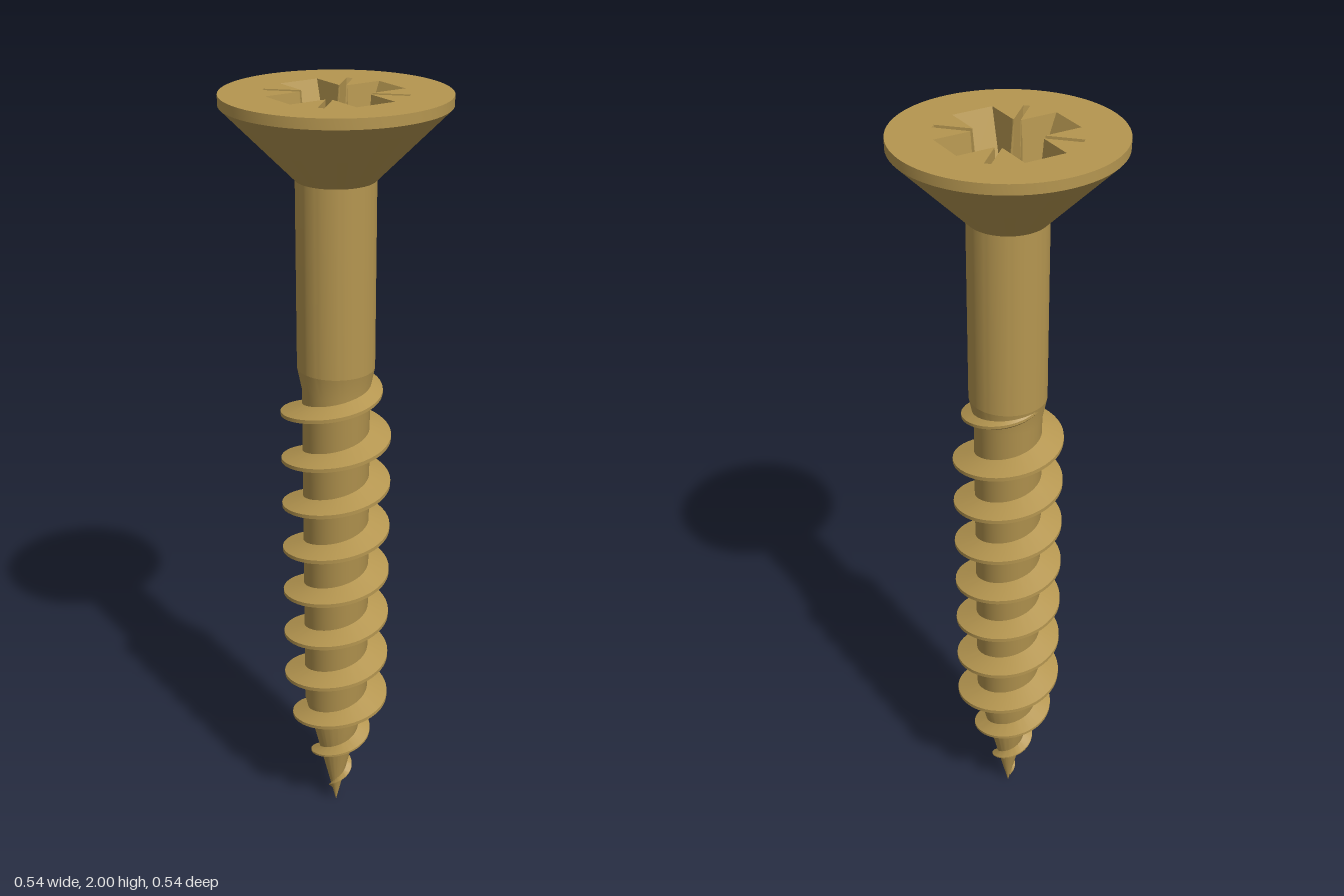
import * as THREE from 'three';
import { toCreasedNormals } from 'three/addons/utils/BufferGeometryUtils.js';

const material = new THREE.MeshStandardMaterial({ color: 0xb59650 });
const V2 = (x, y) => new THREE.Vector2(x, y);
const SEGMENTS = 72;
const TOP = 2, FLOOR = 1.87, HEAD_R = 0.272, DRILL_R = 0.073;

function part(name, geometry, crease = 0.5) {
  const mesh = new THREE.Mesh(toCreasedNormals(geometry, crease), material);
  mesh.name = name;
  return mesh;
}

function lathe(name, points) {
  return part(name, new THREE.LatheGeometry(points.map(([r, y]) => V2(r, y)), SEGMENTS));
}

function fromFaces(positions, index) {
  const geometry = new THREE.BufferGeometry();
  geometry.setAttribute('position', new THREE.Float32BufferAttribute(positions, 3));
  geometry.setIndex(index);
  return geometry;
}

// Repeats a quarter outline four times around the axis
function fourFold(quarter) {
  const points = [];
  for (let q = 0; q < 4; q++) {
    for (const [x, y] of quarter) points.push(V2(x, y).rotateAround(V2(0, 0), q * Math.PI / 2));
  }
  return points;
}

function circle(r) {
  return Array.from({ length: SEGMENTS }, (_, i) => {
    const a = i / SEGMENTS * Math.PI * 2;
    return V2(r * Math.cos(a), r * Math.sin(a));
  });
}

// Flat horizontal face with a hole, facing up
function plate(name, outline, hole, y) {
  const shape = new THREE.Shape(outline);
  shape.holes.push(new THREE.Path(hole));
  return part(name, new THREE.ShapeGeometry(shape).rotateX(-Math.PI / 2).translate(0, y, 0));
}

// Core radius under the thread
function coreRadius(y) {
  if (y < 0.36) return 0.085 * y / 0.36;
  return 0.085 + 0.012 * THREE.MathUtils.clamp((y - 1.27) / 0.06, 0, 1);
}

// Right-handed helical ridge that fades out at both ends
function threadGeometry() {
  const pitch = 0.1287, y0 = 0.03, y1 = 1.325, perTurn = 48;
  const steps = Math.round((y1 - y0) / pitch * perTurn);
  const positions = [], index = [];
  for (let j = 0; j <= steps; j++) {
    const y = y0 + (y1 - y0) * j / steps;
    const angle = (y - 1.123) / pitch * Math.PI * 2;
    const core = coreRadius(y);
    const fade = THREE.MathUtils.clamp((1.325 - y) / 0.11, 0, 1);
    const outer = Math.min(0.14, core * 1.64, 0.094 + 0.046 * fade);
    const size = outer / 0.14;
    const inner = core * 0.9;
    const section = [[inner, -0.026], [outer, -0.005], [outer, 0.005], [inner, 0.026]];
    for (const [r, h] of section) {
      positions.push(r * Math.sin(angle), y + h * size, r * Math.cos(angle));
    }
    if (j === steps) break;
    for (let k = 0; k < 3; k++) {
      const a = j * 4 + k, b = a + 4;
      index.push(a, b, b + 1, a, b + 1, a + 1);
    }
  }
  return fromFaces(positions, index);
}

// Tapered walls between the recess mouth and its floor, facing inward
function recessWalls(mouth, floor) {
  const positions = [], index = [], n = mouth.length;
  for (const p of mouth) positions.push(p.x, TOP, -p.y);
  for (const p of floor) positions.push(p.x, FLOOR, -p.y);
  for (let i = 0; i < n; i++) {
    const next = (i + 1) % n;
    index.push(i, next, n + next, i, n + next, n + i);
  }
  return fromFaces(positions, index);
}

export function createModel() {
  const screw = new THREE.Group();
  screw.name = 'woodScrew';

  // Pointed core, plain shank and countersunk head
  screw.add(lathe('core', [[0, 0], [0.0425, 0.18], [0.085, 0.36], [0.085, 1.27], [0.097, 1.33]]));
  screw.add(lathe('shank', [[0.097, 1.33], [0.097, 1.8]]));
  screw.add(lathe('head', [[0.097, 1.8], [HEAD_R, 1.975], [HEAD_R, TOP]]));
  screw.add(part('thread', threadGeometry(), 0.4));

  // Cross recess with thin diagonal slots between the arms
  const mouth = fourFold([
    [0.158, -0.052], [0.158, 0.052], [0.067, 0.052], [0.0645, 0.053],
    [0.127, 0.116], [0.116, 0.127], [0.053, 0.0645], [0.052, 0.067],
  ]);
  const floor = fourFold([
    [0.102, -0.04], [0.102, 0.04], [0.063, 0.04], [0.058, 0.047],
    [0.106, 0.095], [0.095, 0.106], [0.047, 0.058], [0.04, 0.063],
  ]);
  const recess = new THREE.Group();
  recess.name = 'driveRecess';
  recess.add(part('recessWalls', recessWalls(mouth, floor), 0.1));
  recess.add(plate('recessFloor', floor, circle(DRILL_R), FLOOR));
  recess.add(lathe('recessCone', [[DRILL_R, FLOOR], [0, FLOOR - 0.04]]));
  screw.add(plate('headTop', circle(HEAD_R), mouth, TOP), recess);

  return screw;
}
